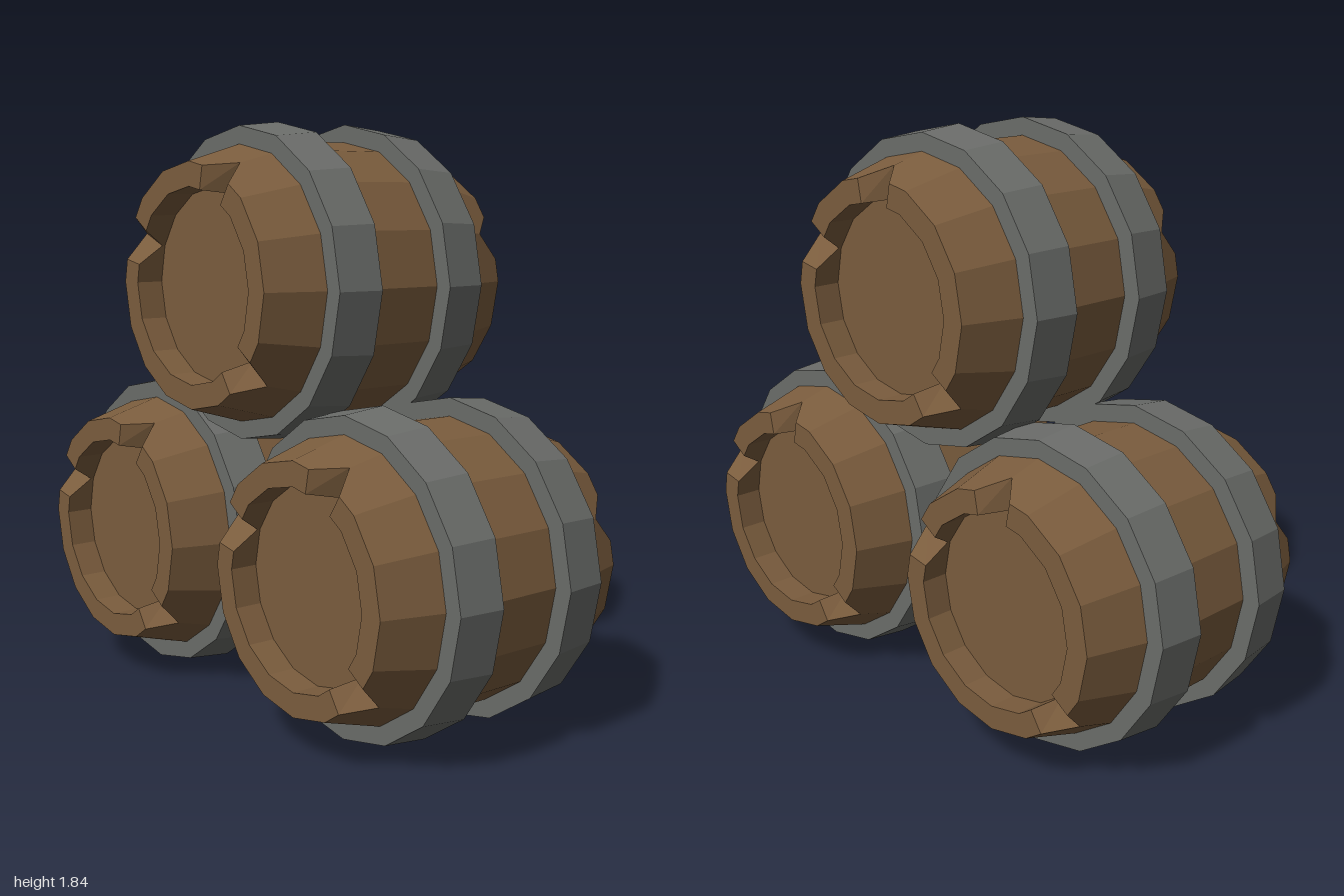
import * as THREE from 'three';

const SIDES = 16;
const COLS = SIDES * 2; // every second column sits mid-facet, so chips can start there

// Joins rings, listed front to back, into a faceted skin around the z axis.
// Each row is [radius, z]; a third item lists chips: { columns, r, z }.
function skin(rows) {
  const mid = Math.cos(Math.PI / SIDES);
  const point = ([r, z, chip], k) => {
    const col = k % COLS;
    if (chip && chip.columns.includes(col)) { r = chip.r; z = chip.z; }
    const radius = col % 2 ? r * mid : r;
    const angle = (col / COLS) * Math.PI * 2;
    return new THREE.Vector3(radius * Math.cos(angle), radius * Math.sin(angle), z);
  };
  const triangles = [];
  const add = (a, b, c) => {
    if (new THREE.Triangle(a, b, c).getArea() > 1e-8) triangles.push(a, b, c);
  };
  for (let i = 0; i < rows.length - 1; i++) {
    for (let k = 0; k < COLS; k++) {
      const a = point(rows[i], k), b = point(rows[i + 1], k);
      const c = point(rows[i + 1], k + 1), d = point(rows[i], k + 1);
      add(a, b, d);
      add(b, c, d);
    }
  }
  const geometry = new THREE.BufferGeometry().setFromPoints(triangles);
  geometry.computeVertexNormals();
  return geometry;
}

// Wooden body: recessed heads, chipped rims and bulging staves
function bodyGeometry() {
  const column = (degrees) => Math.round((degrees / 360) * COLS);
  const frontChips = [67.5, 157.5, 315].map(column);
  const backChips = [90, 22.5, 225].map(column);
  const end = (s, columns) => [
    [0, s * 0.38],
    [0.3, s * 0.38],
    [0.3, s * 0.47, { columns, r: 0.3, z: s * 0.39 }],
    [0.375, s * 0.47, { columns, r: 0.398, z: s * 0.39 }],
    [0.43, s * 0.28],
    [0.443, s * 0.135],
  ];
  return skin([...end(1, frontChips), ...end(-1, backChips).reverse()]);
}

// Metal hoop: slightly tapered towards the barrel end
function hoopGeometry(side) {
  const rows = [[0.42, 0.283], [0.485, 0.283], [0.5, 0.135], [0.42, 0.135]];
  return skin(side > 0 ? rows : rows.map(([r, z]) => [r, -z]).reverse());
}

export function createModel() {
  const wood = new THREE.MeshStandardMaterial({ color: 0x7a5c3d, flatShading: true });
  wood.name = 'brown wood';
  const metal = new THREE.MeshStandardMaterial({ color: 0x6a6c69, flatShading: true });
  metal.name = 'grey metal';

  const body = bodyGeometry();
  const frontHoop = hoopGeometry(1);
  const backHoop = hoopGeometry(-1);

  const model = new THREE.Group();
  model.name = 'barrelStack';

  // Two barrels side by side with a third resting on top
  const places = [['leftBarrel', 0.5, 0.5], ['rightBarrel', -0.5, 0.5], ['topBarrel', -0.005, 1.335]];
  for (const [name, x, y] of places) {
    const barrel = new THREE.Group();
    barrel.name = name;
    barrel.position.set(x, y, 0);
    const parts = [['body', body, wood], ['frontHoop', frontHoop, metal], ['backHoop', backHoop, metal]];
    for (const [part, geometry, material] of parts) {
      const mesh = new THREE.Mesh(geometry, material);
      mesh.name = part;
      barrel.add(mesh);
    }
    model.add(barrel);
  }
  return model;
}
